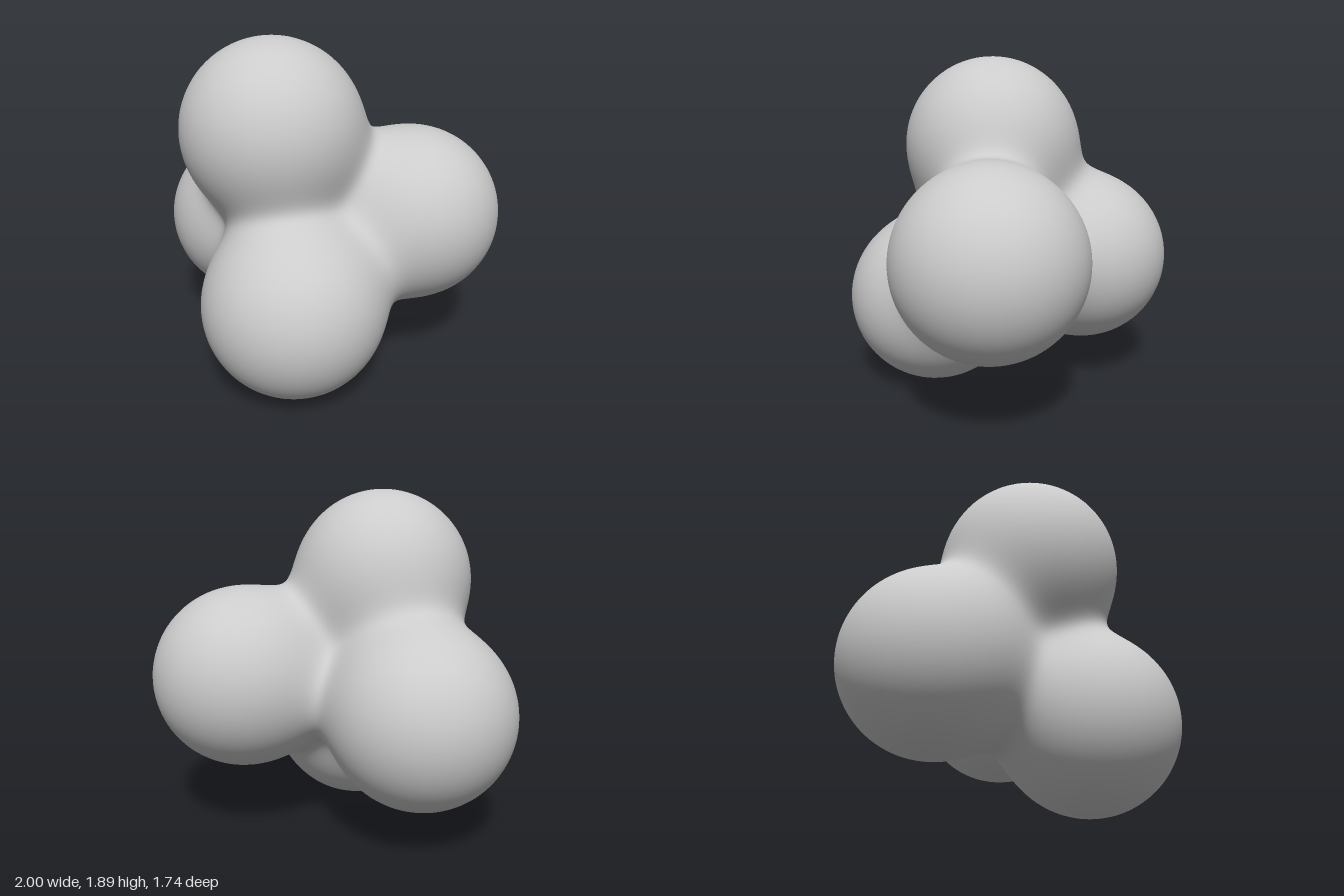
import * as THREE from 'three';

// Four equal lobes in a tetrahedral cluster
const RADIUS = 0.5;
const BLEND = 0.09;
const LOBES = [
  new THREE.Vector3(-0.1, 1.39, 0.16), // top
  new THREE.Vector3(0.17, 0.5, 0.37), // front
  new THREE.Vector3(0.5, 0.87, -0.37), // left
  new THREE.Vector3(-0.5, 0.72, -0.2), // right
];

// Smoothly blended distance to the lobes
function field(p) {
  let sum = 0;
  for (const c of LOBES) sum += Math.exp((RADIUS - p.distanceTo(c)) / BLEND);
  return -BLEND * Math.log(sum);
}

// Gradient of the field: each lobe's direction weighted by its influence
function fieldNormal(p) {
  const n = new THREE.Vector3();
  for (const c of LOBES) {
    const away = p.clone().sub(c);
    const d = away.length();
    n.addScaledVector(away, Math.exp((RADIUS - d) / BLEND) / d);
  }
  return n.normalize();
}

// Shrink-wrap a fine sphere onto the blended lobes
function clusterGeometry() {
  const centre = new THREE.Vector3();
  LOBES.forEach((c) => centre.addScaledVector(c, 1 / LOBES.length));
  const geometry = new THREE.IcosahedronGeometry(1, 48);
  const pos = geometry.attributes.position;
  const nor = geometry.attributes.normal;
  const dir = new THREE.Vector3();
  const p = new THREE.Vector3();
  for (let i = 0; i < pos.count; i++) {
    dir.fromBufferAttribute(pos, i).normalize();
    let t = 1.3;
    for (let step = 0; step < 120; step++) {
      p.copy(centre).addScaledVector(dir, t);
      const d = field(p);
      if (d < 0.0005) break;
      t -= d;
    }
    const n = fieldNormal(p);
    pos.setXYZ(i, p.x, p.y, p.z);
    nor.setXYZ(i, n.x, n.y, n.z);
  }
  return geometry;
}

export function createModel() {
  const group = new THREE.Group();
  group.name = 'lobedCluster';
  const material = new THREE.MeshStandardMaterial({ color: 0xcccccc });
  const body = new THREE.Mesh(clusterGeometry(), material);
  body.name = 'blendedLobes';
  group.add(body);
  return group;
}
